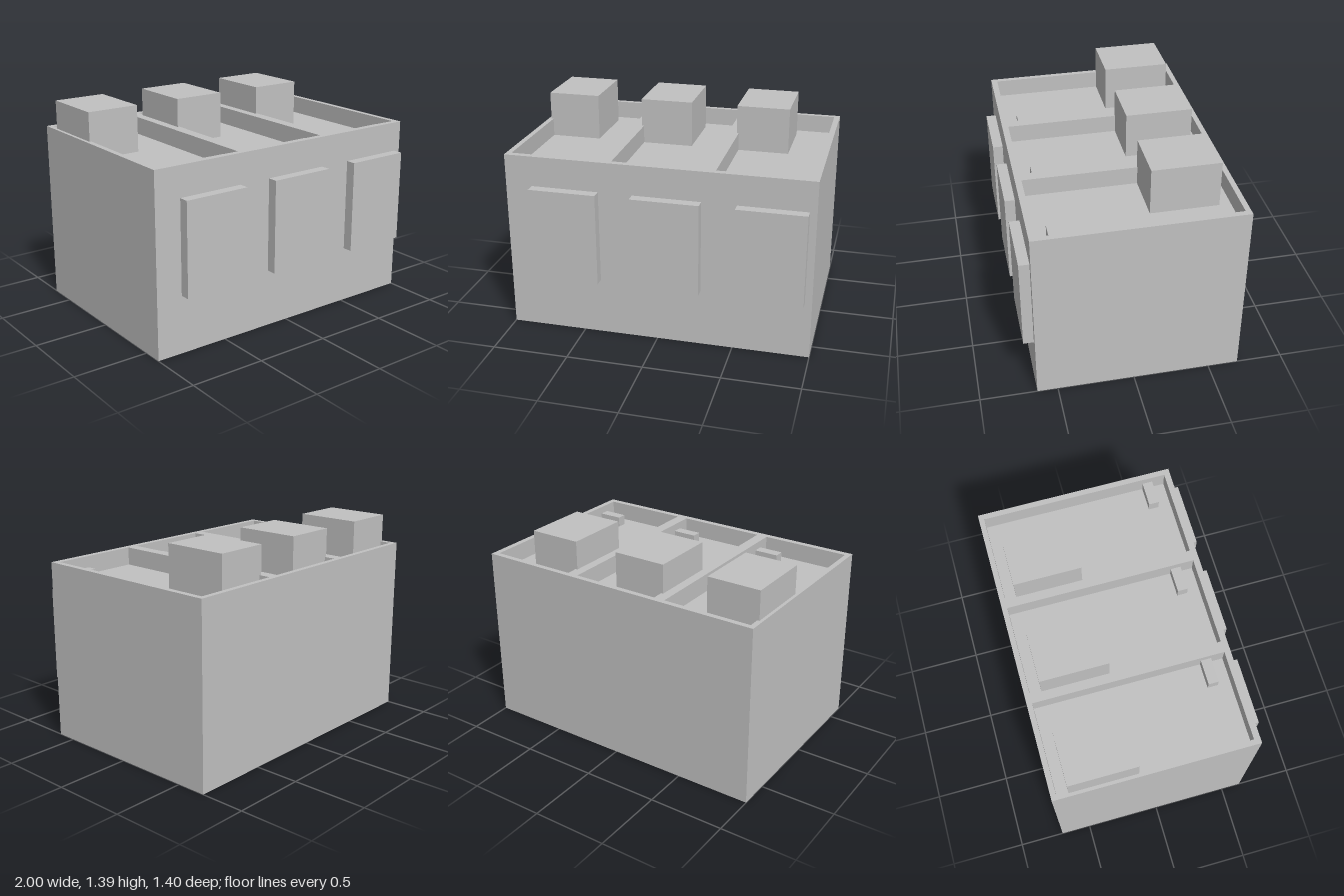
import * as THREE from 'three';

const bodyGrey = new THREE.MeshStandardMaterial({ color: 0xc0c0c0, side: THREE.DoubleSide });
bodyGrey.name = 'bodyGrey';

// Overall levels and the spacing of the three repeated units
const TOP = 1.2, FLOOR = 1.08, BACK = -0.7, FRONT = 0.633;
const CENTRES = [-0.667, 0, 0.667];
const BAY = { x0: -0.298, x1: 0.295, z0: -0.665, z1: 0.592 };

// Box given by its limits; open sides are left out (order: +x -x +y -y +z -z)
function box(name, [x0, x1], [y0, y1], [z0, z1], open = []) {
  const geo = new THREE.BoxGeometry(x1 - x0, y1 - y0, z1 - z0);
  geo.translate((x0 + x1) / 2, (y0 + y1) / 2, (z0 + z1) / 2);
  const index = Array.from(geo.index.array);
  geo.setIndex(index.filter((_, i) => !open.includes(Math.floor(i / 6))));
  geo.clearGroups();
  const mesh = new THREE.Mesh(geo, bodyGrey);
  mesh.name = name;
  return mesh;
}

// Rectangle path on the plan, with shape y = -z
function rectangle(path, x0, x1, z0, z1) {
  path.moveTo(x0, -z1).lineTo(x1, -z1);
  path.lineTo(x1, -z0).lineTo(x0, -z0).closePath();
  return path;
}

// Flat roof rim and dividers around the three sunken bays
function roofRim() {
  const shape = new THREE.Shape();
  rectangle(shape, -1, 1, BACK, FRONT);
  for (const c of CENTRES) {
    const hole = new THREE.Path();
    rectangle(hole, c + BAY.x0, c + BAY.x1, BAY.z0, BAY.z1);
    shape.holes.push(hole);
  }
  const geo = new THREE.ShapeGeometry(shape);
  geo.rotateX(-Math.PI / 2).translate(0, TOP, 0);
  const mesh = new THREE.Mesh(geo, bodyGrey);
  mesh.name = 'roofRim';
  return mesh;
}

export function createModel() {
  const model = new THREE.Group();
  model.name = 'tripleUnitBlock';

  // Outer walls, open underneath
  model.add(box('outerWalls', [-1, 1], [0, TOP], [BACK, FRONT], [2, 3]));
  model.add(roofRim());

  for (const c of CENTRES) {
    const unit = new THREE.Group();
    unit.name = 'unit';
    unit.position.x = c;
    unit.add(
      // Sunken roof bay, open on top
      box('roofBay', [BAY.x0, BAY.x1], [FLOOR, TOP], [BAY.z0, BAY.z1], [2]),
      // Tall roof block standing in the bay
      box('roofBlock', [-0.312, 0.042], [FLOOR, 1.39], [-0.59, -0.147], [3]),
      // Small ledge against the bay wall
      box('ledge', [0.13, BAY.x1], [FLOOR, 1.15], [0.44, 0.508], [0, 3]),
      // Raised panel on the front wall
      box('frontPanel', [-0.157, 0.287], [0.383, 1.0], [FRONT, 0.7], [5]),
    );
    model.add(unit);
  }
  return model;
}
